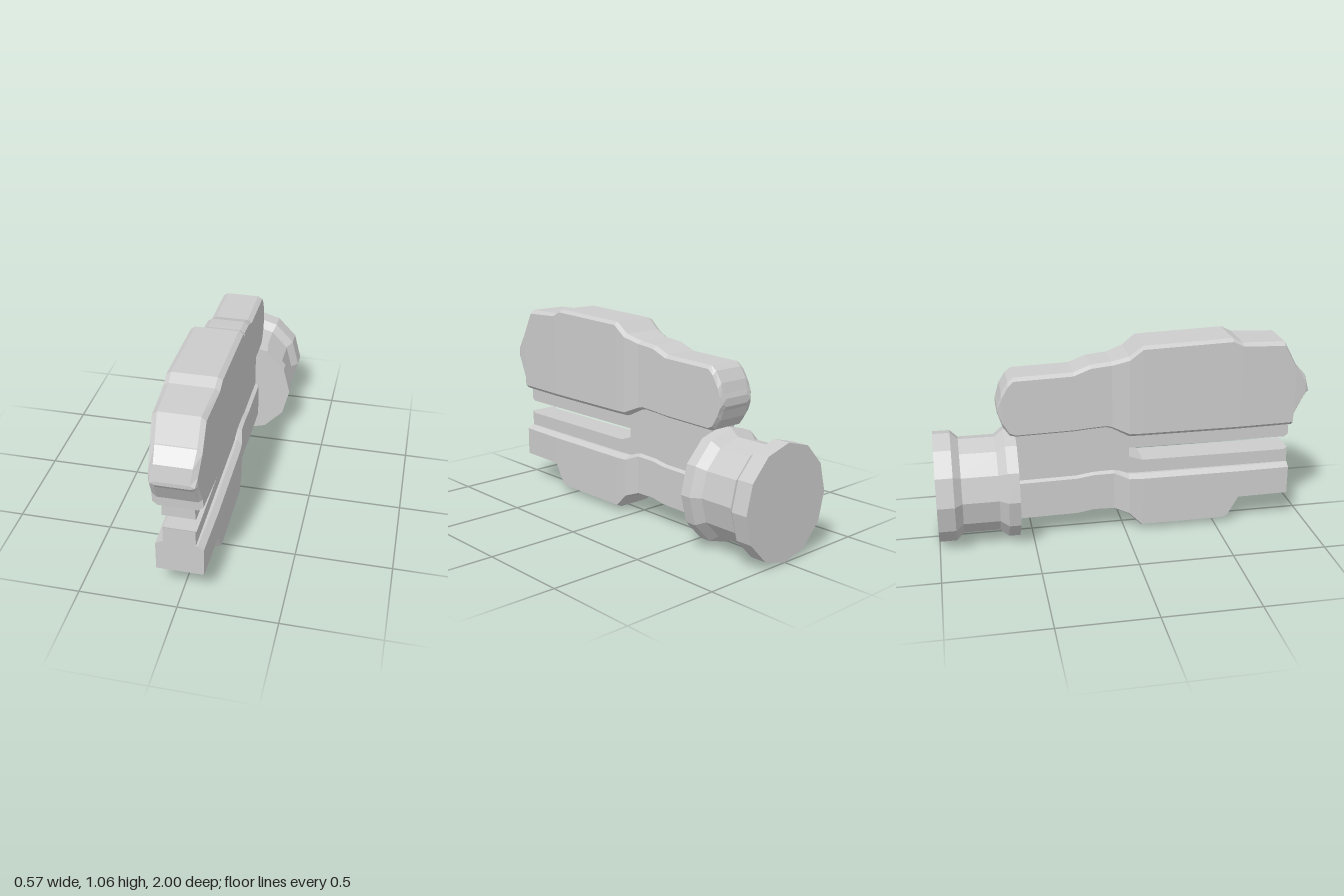
import * as THREE from 'three';

const material = new THREE.MeshStandardMaterial({ color: 0xcccccc, flatShading: true });
const CX = -0.004; // slight sideways offset of the slabs

function addMesh(group, name, geometry) {
  const mesh = new THREE.Mesh(geometry, material);
  mesh.name = name;
  group.add(mesh);
  return mesh;
}

// Chamfered slab lofted front to back.
// Section: [z, top, bottom, halfWidth, chamfer height at top, at bottom]
function chamferedSlab(sections, inset) {
  const pos = [], index = [];
  for (const [z, top, bot, w, ct = 0.015, cb = 0.015] of sections) {
    const limit = (top - bot) * 0.45;
    const t = Math.min(ct, limit), b = Math.min(cb, limit), n = w - inset;
    for (const [x, y] of [[n, bot], [w, bot + b], [w, top - t], [n, top],
      [-n, top], [-w, top - t], [-w, bot + b], [-n, bot]]) pos.push(x + CX, y, z);
  }
  const last = (sections.length - 1) * 8;
  for (let i = 0; i < last; i += 8) {
    for (let j = 0; j < 8; j++) {
      const k = (j + 1) % 8;
      index.push(i + j, i + 8 + j, i + k, i + k, i + 8 + j, i + 8 + k);
    }
  }
  for (let j = 1; j < 7; j++) index.push(0, j, j + 1, last, last + j + 1, last + j);
  const g = new THREE.BufferGeometry();
  g.setAttribute('position', new THREE.Float32BufferAttribute(pos, 3));
  g.setIndex(index);
  const flat = g.toNonIndexed();
  flat.computeVertexNormals();
  return flat;
}

export function createModel() {
  const group = new THREE.Group();
  group.name = 'slottedTool';

  // Upper housing with rounded ends and a narrower rear
  addMesh(group, 'upperHousing', chamferedSlab([
    [1.0, 0.755, 0.735, 0.105],
    [0.98, 0.835, 0.71, 0.115, 0.04, 0.03],
    [0.92, 0.9, 0.605, 0.122, 0.02, 0.02],
    [0.918, 0.905, 0.556, 0.122, 0.02, 0.02],
    [0.85, 1.03, 0.556, 0.125, 0.02, 0.02],
    [0.62, 1.037, 0.556, 0.134, 0.015, 0.02],
    [0.565, 1.065, 0.556, 0.135, 0.015, 0.02],
    [0.09, 1.05, 0.556, 0.135, 0.015, 0.02],
    [0.02, 0.995, 0.556, 0.131, 0.015, 0.02],
    [-0.07, 0.967, 0.6, 0.11],
    [-0.1, 0.965, 0.608, 0.11],
    [-0.18, 0.957, 0.604, 0.11],
    [-0.27, 0.922, 0.597, 0.11],
    [-0.575, 0.913, 0.59, 0.11],
    [-0.605, 0.89, 0.598, 0.11, 0.02, 0.02],
    [-0.64, 0.835, 0.65, 0.11, 0.025, 0.025],
    [-0.655, 0.785, 0.7, 0.109],
    [-0.664, 0.76, 0.72, 0.095],
  ], 0.024));

  // Lower body, stepped underneath at the front
  addMesh(group, 'lowerBody', chamferedSlab([
    [0.91, 0.33, 0.155, 0.12, 0.02, 0.001],
    [0.63, 0.33, 0.155, 0.126, 0.02, 0.001],
    [0.57, 0.33, 0.043, 0.126, 0.02, 0.008],
    [0.54, 0.33, 0.024, 0.126, 0.02, 0.015],
    [0.09, 0.33, 0.024, 0.126, 0.02, 0.015],
    [0.02, 0.332, 0.095, 0.122, 0.02, 0.015],
    [-0.06, 0.36, 0.125, 0.104],
    [-0.17, 0.358, 0.127, 0.102],
    [-0.26, 0.345, 0.112, 0.102],
    [-0.58, 0.34, 0.108, 0.102],
  ], 0.03));

  // Central web with the long open slot; outline is drawn as (z, y)
  const outline = [[0.91, 0.2], [0.91, 0.415], [0.89, 0.402], [0.1, 0.402], [0.025, 0.428],
    [0.025, 0.478], [0.89, 0.478], [0.91, 0.492], [0.91, 0.62], [-0.575, 0.62], [-0.575, 0.2]];
  const web = new THREE.ExtrudeGeometry(
    new THREE.Shape(outline.map(([z, y]) => new THREE.Vector2(-z, y))),
    { depth: 0.162, bevelEnabled: false });
  web.translate(0, 0, -0.081).rotateY(Math.PI / 2).translate(CX, 0, 0);
  addMesh(group, 'slottedWeb', web);

  // Twelve-sided waisted knob at the back
  const profile = [[0, -1], [0.298, -1], [0.298, -0.91], [0.26, -0.87],
    [0.26, -0.68], [0.298, -0.635], [0.298, -0.575], [0, -0.575]];
  const knob = new THREE.LatheGeometry(profile.map(([r, z]) => new THREE.Vector2(r, z)), 12);
  knob.rotateX(Math.PI / 2).scale(0.948, 1, 1).translate(0, 0.302, 0);
  addMesh(group, 'rearKnob', knob);

  return group;
}
